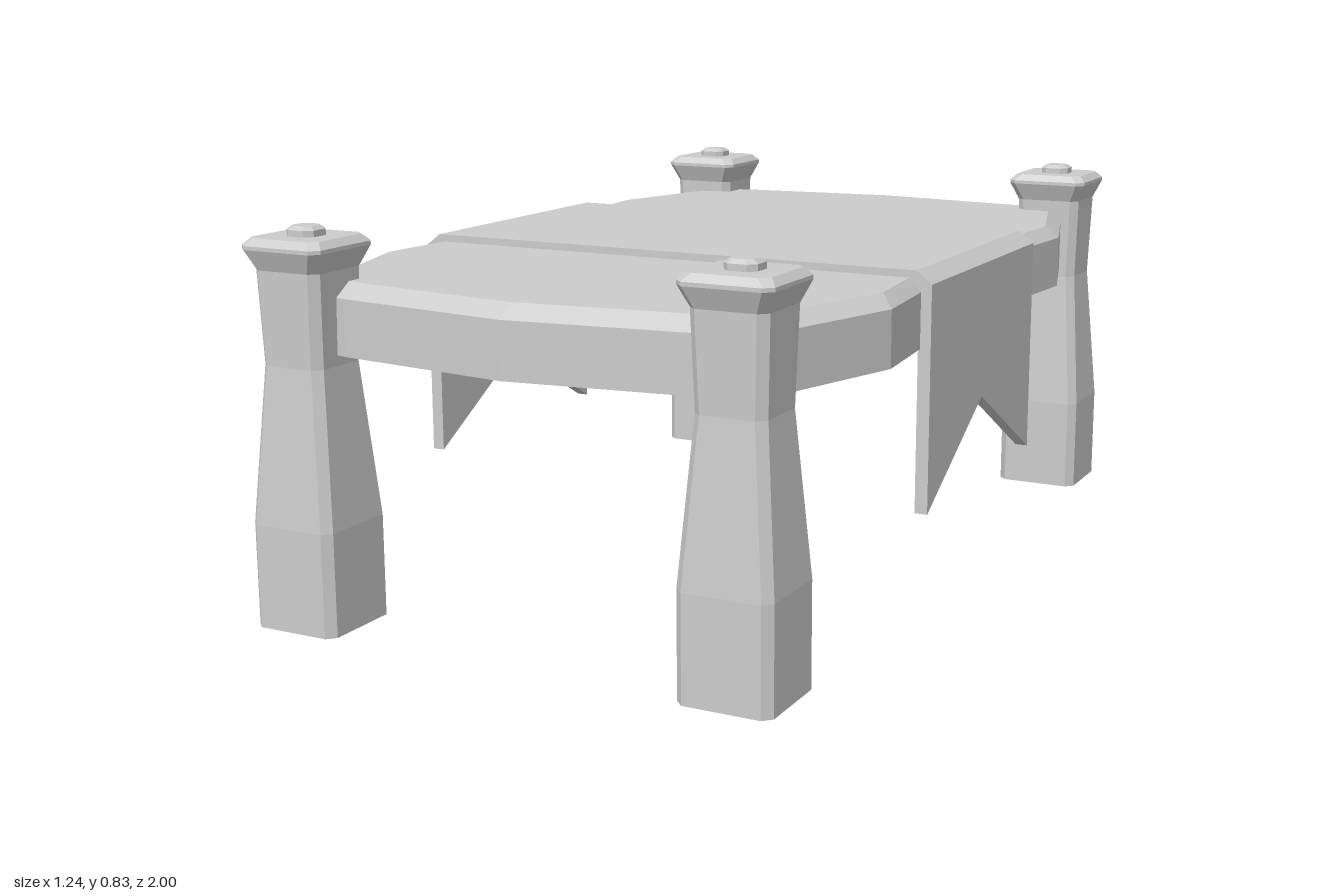
import * as THREE from 'three';

const grey = () => new THREE.MeshStandardMaterial({ color: 0xcccccc, flatShading: true, side: THREE.DoubleSide });

function mesh(name, geometry) {
  const m = new THREE.Mesh(geometry, grey());
  m.name = name;
  return m;
}

// Skin a stack of horizontal rings; each ring is a list of [x, z] at height y.
function loft(rings, capBottom) {
  const pos = [];
  const at = (r, i) => {
    const p = r.points[i % r.points.length];
    return [p[0], r.y, p[1]];
  };
  const n = rings[0].points.length;
  for (let k = 0; k < rings.length - 1; k++) {
    for (let i = 0; i < n; i++) {
      const a = at(rings[k], i), b = at(rings[k], i + 1);
      const c = at(rings[k + 1], i + 1), d = at(rings[k + 1], i);
      pos.push(...a, ...b, ...c, ...a, ...c, ...d);
    }
  }
  const top = rings[rings.length - 1], bottom = rings[0];
  for (let i = 0; i < n; i++) {
    pos.push(0, top.y, 0, ...at(top, i), ...at(top, i + 1));
    if (capBottom) pos.push(0, bottom.y, 0, ...at(bottom, i + 1), ...at(bottom, i));
  }
  const g = new THREE.BufferGeometry();
  g.setAttribute('position', new THREE.Float32BufferAttribute(pos, 3));
  g.computeVertexNormals();
  return g;
}

// Square ring with cut corners, counter-clockwise seen from above.
function cutSquare(h, cut, y) {
  const q = h - cut;
  return { y, points: [[h, q], [h, -q], [q, -h], [-q, -h], [-h, -q], [-h, q], [-q, h], [q, h]] };
}

function createLeg(name, x, z) {
  const leg = new THREE.Group();
  leg.name = name;
  // Waisted post with a flared, bevelled head, open underneath
  const profile = [[0.1, 0], [0.1, 0.22], [0.074, 0.55], [0.08, 0.745], [0.098, 0.787], [0.098, 0.795], [0.084, 0.81]];
  leg.add(mesh('post', loft(profile.map(([h, y]) => cutSquare(h, 0.018, y)), false)));
  // Small stud on top
  leg.add(mesh('stud', loft([cutSquare(0.034, 0.015, 0.805), cutSquare(0.034, 0.015, 0.823),
    cutSquare(0.024, 0.011, 0.831)], false)));
  leg.position.set(x, 0, z);
  return leg;
}

function createTabletop() {
  // Right half of the outline from front to back, then mirrored
  const half = [[0.4, 0.915], [0.505, 0.89], [0.617, 0.53], [0.565, 0], [0.61, -0.56], [0.505, -0.92], [0.4, -0.945]];
  const outline = [[0, 0.965], ...half, [0, -0.99], ...half.map(([x, z]) => [-x, z]).reverse()];
  const inset = outline.map(([x, z]) => [x * 0.955, z * 0.96]);
  return mesh('tabletop', loft([{ y: 0.572, points: outline }, { y: 0.69, points: outline },
    { y: 0.718, points: inset }], true));
}

function createRunner() {
  const runner = new THREE.Group();
  runner.name = 'clothRunner';
  const z0 = -0.333, z1 = 0.322;

  // Cloth lying across the top, with bevelled shoulders
  const top = new THREE.Shape([[-0.62, 0.7], [0.62, 0.7], [0.62, 0.707], [0.585, 0.734], [-0.585, 0.734], [-0.62, 0.707]]
    .map(([x, y]) => new THREE.Vector2(x, y)));
  const topGeo = new THREE.ExtrudeGeometry(top, { depth: z1 - z0, bevelEnabled: false });
  topGeo.translate(0, 0, z0);
  runner.add(mesh('runnerTop', topGeo));

  // Hanging ends with a V notch
  const end = new THREE.Shape([[-z1, 0.7], [-z1, 0.223], [0, 0.41], [-z0, 0.223], [-z0, 0.7]]
    .map(([x, y]) => new THREE.Vector2(x, y)));
  for (const side of [-1, 1]) {
    const g = new THREE.ExtrudeGeometry(end, { depth: 0.028, bevelEnabled: false });
    g.rotateY(Math.PI / 2);
    g.translate(side > 0 ? 0.592 : -0.62, 0, 0);
    runner.add(mesh(side > 0 ? 'leftHangingEnd' : 'rightHangingEnd', g));
  }
  return runner;
}

export function createModel() {
  const model = new THREE.Group();
  model.name = 'table';
  model.add(createTabletop(), createRunner());
  // Legs stand slightly out of true
  model.add(
    createLeg('frontRightLeg', -0.501, 0.897),
    createLeg('frontLeftLeg', 0.477, 0.886),
    createLeg('backRightLeg', -0.501, -0.9),
    createLeg('backLeftLeg', 0.494, -0.903),
  );
  return model;
}
